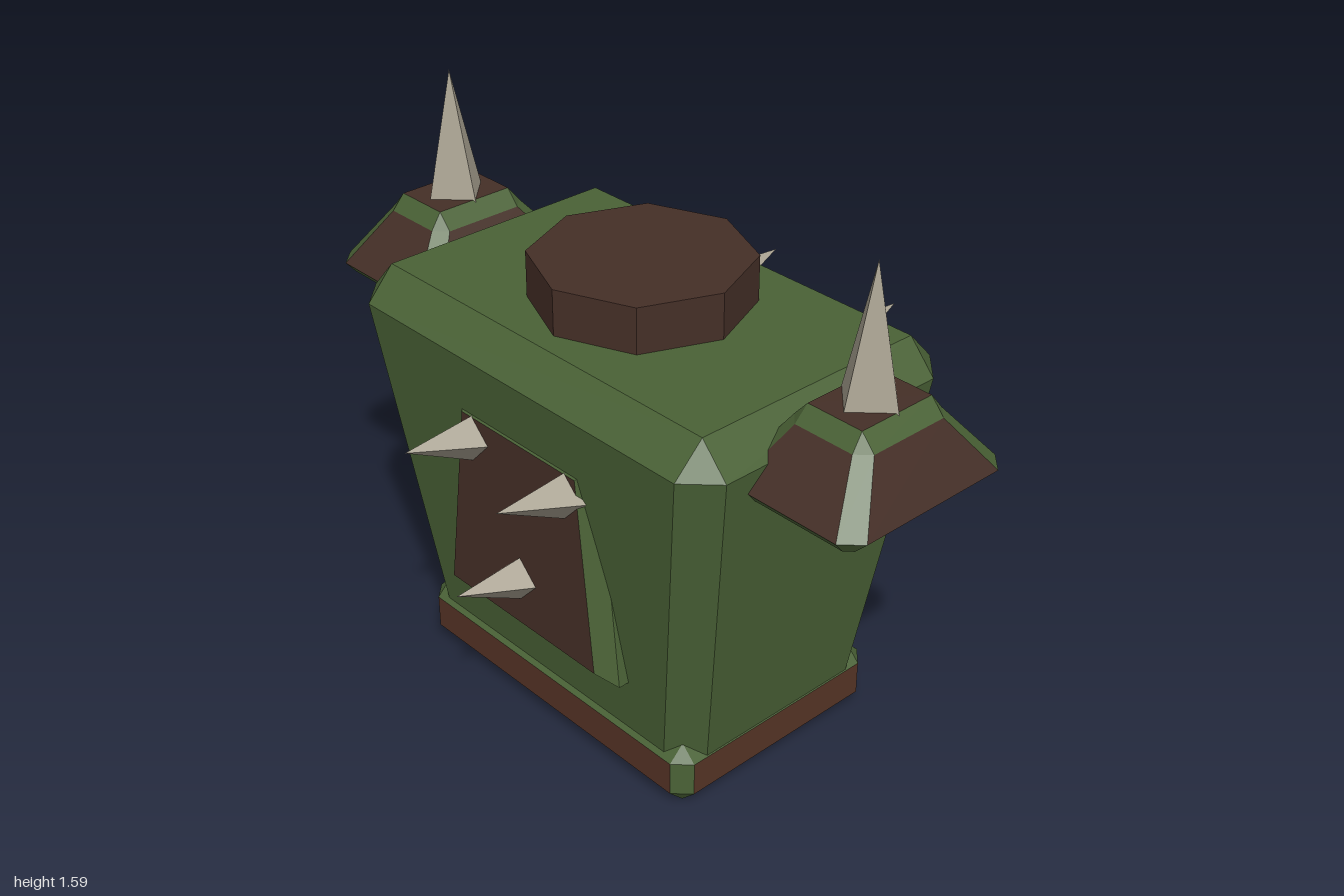
import * as THREE from 'three';

const mat = (color) => new THREE.MeshStandardMaterial({ color, flatShading: true });
const green = mat(0x4a6236);
const brown = mat(0x452f27);
const rust = mat(0x563426);
const bone = mat(0xa8a190);
const CZ = 0.045; // depth centre of the torso

// Eight-sided ring of a rectangle with cut corners: [y, half width, half depth, corner cut]
function ring([y, x, z, c]) {
  return [[c - x, z], [x - c, z], [x, z - c], [x, c - z], [x - c, -z], [c - x, -z], [-x, c - z], [-x, z - c]]
    .map(([px, pz]) => new THREE.Vector3(px, y, pz));
}

function meshFrom(name, points, material) {
  const geo = new THREE.BufferGeometry().setFromPoints(points);
  geo.computeVertexNormals();
  const mesh = new THREE.Mesh(geo, material);
  mesh.name = name;
  return mesh;
}

// Bevelled block lofted through rings; flat sides of band 1 and the caps take the panel material
function bevelledBlock(name, specs, trimMat, panelMat) {
  const rings = specs.map(ring);
  const trim = [], panel = [];
  const tri = (out, a, b, c) => {
    if (new THREE.Triangle(a, b, c).getArea() > 1e-7) out.push(a, b, c);
  };
  for (let k = 0; k < rings.length - 1; k++) {
    for (let i = 0; i < 8; i++) {
      const j = (i + 1) % 8, lo = rings[k], hi = rings[k + 1];
      const out = k === 1 && i % 2 === 0 ? panel : trim;
      tri(out, lo[i], lo[j], hi[j]);
      tri(out, lo[i], hi[j], hi[i]);
    }
  }
  const bottom = rings[0], top = rings[rings.length - 1];
  for (let i = 1; i < 7; i++) {
    tri(panel, bottom[0], bottom[i + 1], bottom[i]);
    tri(panel, top[0], top[i], top[i + 1]);
  }
  const group = new THREE.Group();
  group.name = name;
  group.add(meshFrom(name + 'Trim', trim, trimMat), meshFrom(name + 'Panels', panel, panelMat));
  return group;
}

// Four-sided spike from a base centre to a tip
function spike(name, base, tip, radius) {
  const a = new THREE.Vector3(...base), dir = new THREE.Vector3(...tip).sub(a);
  const len = dir.length();
  const geo = new THREE.ConeGeometry(radius, len, 4);
  geo.translate(0, len / 2, 0);
  const mesh = new THREE.Mesh(geo, bone);
  mesh.quaternion.setFromUnitVectors(new THREE.Vector3(0, 1, 0), dir.normalize());
  mesh.position.copy(a);
  mesh.name = name;
  return mesh;
}

// Tapered plate with a bevelled rim, its face near z = 0.44
function plate(name) {
  const shape = new THREE.Shape([[-0.295, 0.37], [0.295, 0.37], [0.225, 0.925], [-0.225, 0.925]]
    .map((p) => new THREE.Vector2(...p)));
  const geo = new THREE.ExtrudeGeometry(shape, {
    depth: 0.08, bevelEnabled: true, bevelSegments: 1, bevelSize: 0.045, bevelThickness: 0.045,
  });
  const pos = geo.attributes.position;
  // lean the plate slightly backwards
  for (let i = 0; i < pos.count; i++) {
    pos.setZ(i, pos.getZ(i) + 0.315 - (pos.getY(i) - 0.37) * 0.015);
  }
  geo.computeVertexNormals();
  const mesh = new THREE.Mesh(geo, [brown, green]);
  mesh.name = name;
  return mesh;
}

export function createModel() {
  const model = new THREE.Group();
  model.name = 'spikedArmour';

  // Torso and waist band
  const torso = bevelledBlock('torso', [
    [0.1, 0.53, 0.34, 0.08], [1.1, 0.682, 0.445, 0.085], [1.19, 0.6, 0.36, 0],
  ], green, green);
  const waist = bevelledBlock('waistBand', [
    [0, 0.495, 0.313, 0], [0.045, 0.54, 0.358, 0.045], [0.145, 0.54, 0.358, 0.045], [0.19, 0.495, 0.313, 0],
  ], green, rust);

  // Collar
  const collar = new THREE.Mesh(new THREE.CylinderGeometry(0.3, 0.3, 0.2, 8), brown);
  collar.name = 'collar';
  collar.position.y = 1.22;

  // Chest and back plates
  const chest = plate('chestPlate');
  const back = plate('backPlate');
  back.rotation.y = Math.PI;
  back.position.y = -0.01;

  for (const part of [torso, waist, collar, chest, back]) {
    part.position.z = CZ;
    model.add(part);
  }

  // Shoulder pads with upright spikes
  for (const [side, s] of [['left', 1], ['right', -1]]) {
    const pad = bevelledBlock(side + 'ShoulderPad', [
      [1, 0.18, 0.25, 0.02], [1.035, 0.215, 0.28, 0.05], [1.185, 0.125, 0.155, 0.035], [1.23, 0.085, 0.12, 0],
    ], green, brown);
    pad.position.set(s * 0.785, 0, CZ);
    model.add(pad, spike(side + 'ShoulderSpike', [s * 0.785, 1.22, CZ], [s * 0.785, 1.59, CZ], 0.092));
  }

  // Chest spikes
  for (const [x, y] of [[-0.185, 0.905], [0.185, 0.905], [0, 0.557]]) {
    model.add(spike('chestSpike', [x, y - 0.055, 0.4], [x, y, 0.69], 0.09));
  }

  // Back spikes
  for (const [x, y] of [[-0.23, 1.003], [0.23, 1.003], [0, 0.68], [-0.21, 0.402], [0.21, 0.402]]) {
    model.add(spike('backSpike', [x, y - 0.064, -0.327], [x, y, -0.69], 0.1));
  }

  return model;
}
